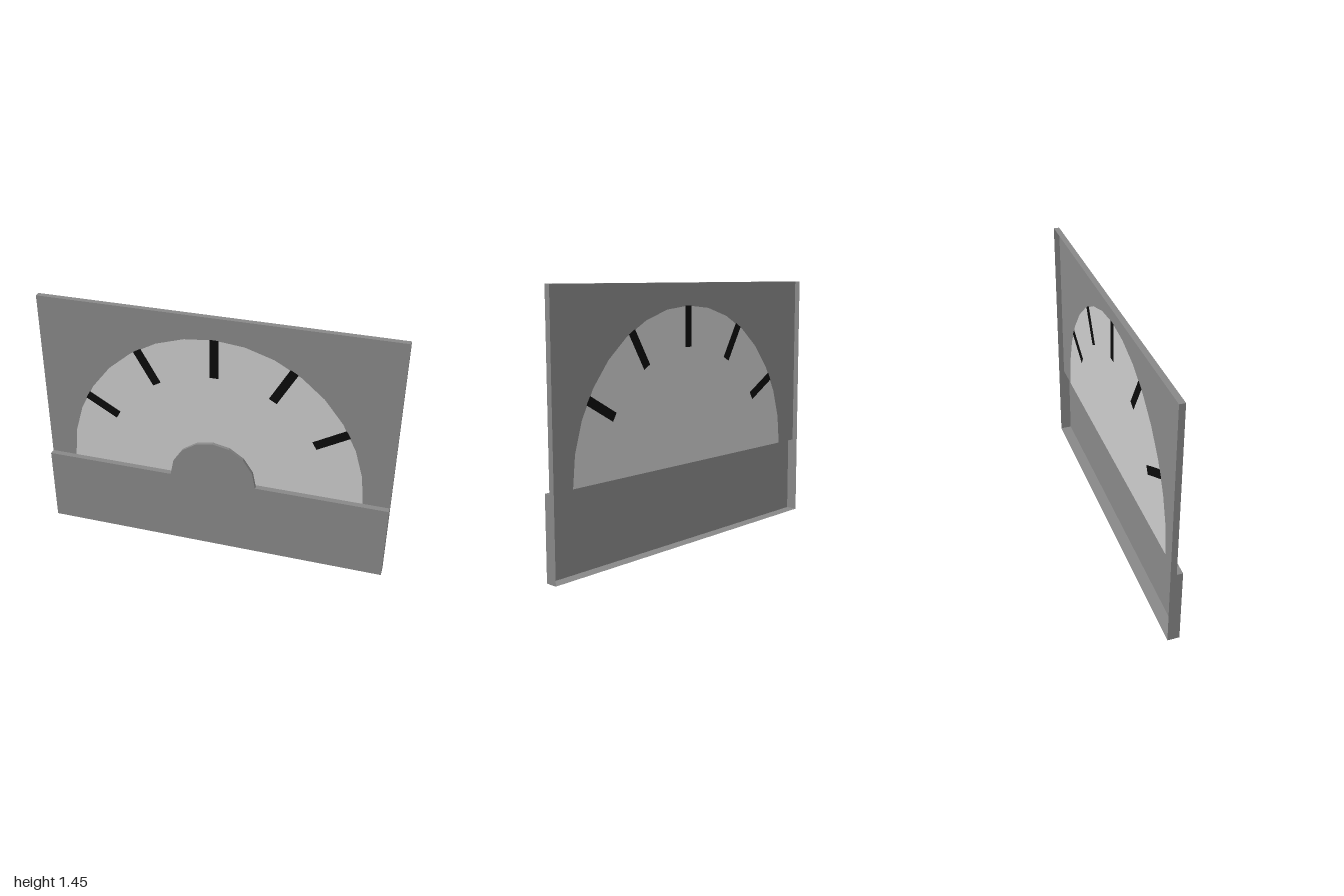
import * as THREE from 'three';

// Depths: open back rim, dial sheet, back of the hub bump, front cover
const Z_BACK = -0.0325, Z_DIAL = 0, Z_BUMP = 0.014, Z_FRONT = 0.0335;
const W = 1, H = 1.45, Y0 = 0.45; // half width, height, top of the lower cover

const paint = (color) => new THREE.MeshStandardMaterial({ color, side: THREE.DoubleSide, flatShading: true });

// Points on a half ellipse, from right to left over the top
function arch(rx, ry, n) {
  return Array.from({ length: n + 1 }, (_, i) => {
    const a = (Math.PI * i) / n;
    return new THREE.Vector2(rx * Math.cos(a), Y0 + ry * Math.sin(a));
  });
}

const pts = (...pairs) => pairs.map(([x, y]) => new THREE.Vector2(x, y));

export function createModel() {
  const group = new THREE.Group();
  const frameMat = paint(0x888888);
  const dialMat = paint(0xcccccc);
  const tickMat = paint(0x0a0a0a);

  function add(name, geometry, material) {
    const mesh = new THREE.Mesh(geometry, material);
    mesh.name = name;
    group.add(mesh);
    return mesh;
  }

  // Flat sheet bounded by an outline at depth z
  function sheet(name, outline, z, material) {
    add(name, new THREE.ShapeGeometry(new THREE.Shape(outline)), material).position.z = z;
  }

  // Thin wall following a polyline between two depths
  function wall(name, line, z0, z1) {
    const pos = [];
    for (let i = 0; i < line.length - 1; i++) {
      const a = line[i], b = line[i + 1];
      pos.push(a.x, a.y, z0, b.x, b.y, z0, b.x, b.y, z1);
      pos.push(a.x, a.y, z0, b.x, b.y, z1, a.x, a.y, z1);
    }
    const g = new THREE.BufferGeometry();
    g.setAttribute('position', new THREE.Float32BufferAttribute(pos, 3));
    g.computeVertexNormals();
    add(name, g, frameMat);
  }

  const dialArc = arch(0.85, 0.875, 16);
  const bumpArc = arch(0.25, 0.25, 8);

  // Upper panel around the half-round dial
  sheet('panel', [...pts([W, Y0], [W, H], [-W, H], [-W, Y0]), ...dialArc.slice().reverse()], Z_DIAL, frameMat);
  sheet('dialFace', dialArc, Z_DIAL, dialMat);

  // Lower front cover with the hub bump
  sheet('lowerCover', [...pts([-W, 0], [W, 0], [W, Y0]), ...bumpArc, ...pts([-W, Y0])], Z_FRONT, frameMat);
  sheet('bumpBack', bumpArc, Z_BUMP, frameMat);
  wall('bumpEdge', bumpArc, Z_BUMP, Z_FRONT);

  // Outer rim, open at the back
  wall('rim', pts([-W, 0], [W, 0], [W, H], [-W, H], [-W, 0]), Z_BACK, Z_DIAL);
  wall('coverRim', pts([-W, Y0], [-W, 0], [W, 0], [W, Y0]), Z_DIAL, Z_FRONT);

  // Ledge between panel and cover, left open below the bump
  for (const s of [-1, 1]) wall('ledge', pts([s * W, Y0], [s * 0.25, Y0]), Z_DIAL, Z_FRONT);
  wall('ledgeMiddle', pts([-0.25, Y0], [0.25, Y0]), Z_DIAL, Z_BUMP);

  // Scale marks every 30 degrees, seen from both sides of the dial
  for (let i = -2; i <= 2; i++) {
    const a = (i * Math.PI) / 6;
    const outer = 1 / Math.hypot(Math.sin(a) / 0.85, Math.cos(a) / 0.875);
    const r = (0.65 + outer) / 2;
    const tick = add('scaleMark', new THREE.BoxGeometry(0.05, outer - 0.65, 0.002), tickMat);
    tick.position.set(r * Math.sin(a), Y0 + r * Math.cos(a), Z_DIAL);
    tick.rotation.z = -a;
  }

  return group;
}
